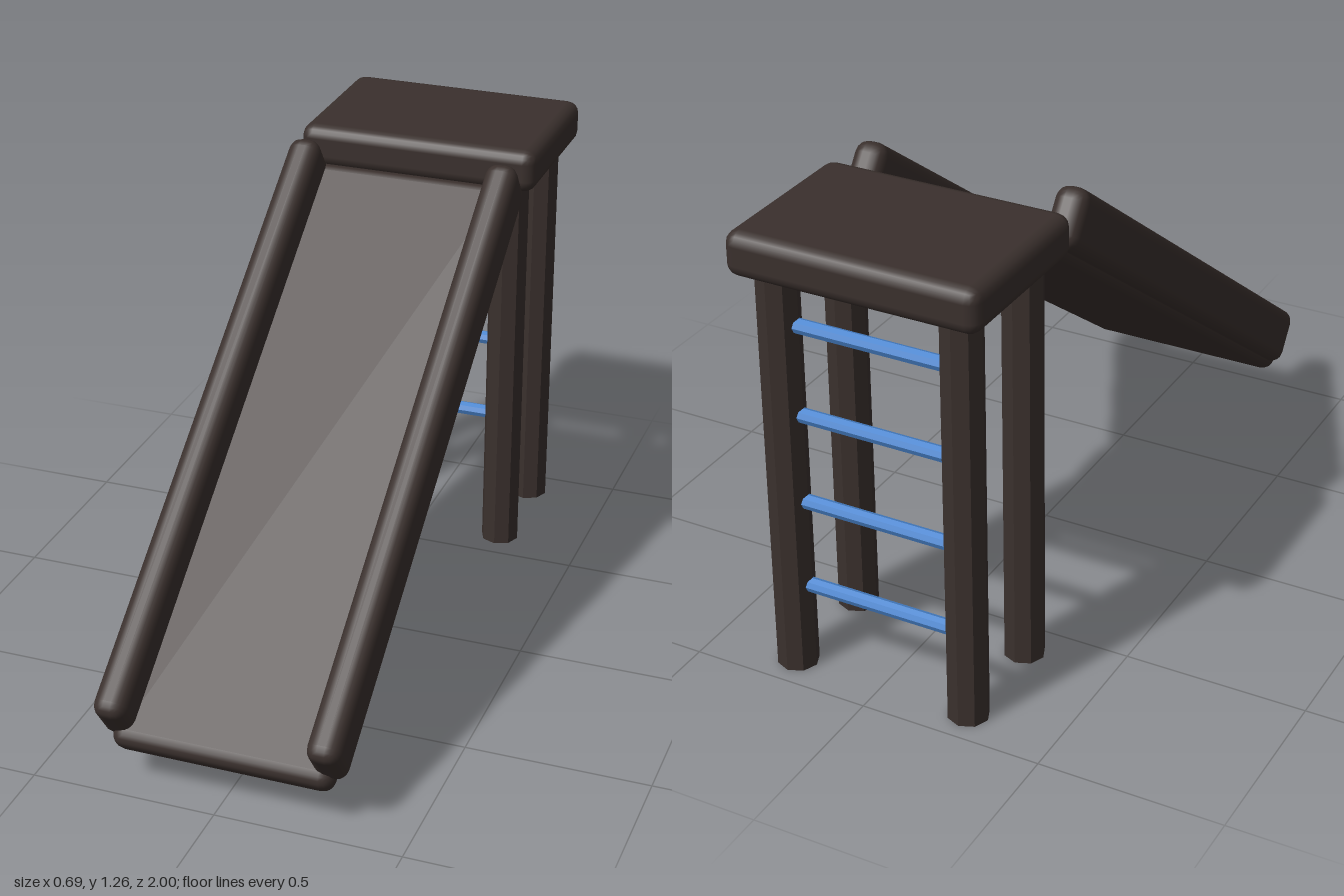
import * as THREE from 'three';
import { RoundedBoxGeometry } from 'three/addons/geometries/RoundedBoxGeometry.js';

export function createModel() {
  const model = new THREE.Group();
  model.name = 'playgroundSlide';
  const brown = new THREE.MeshStandardMaterial({ color: 0x3a302d });
  const brownFaceted = new THREE.MeshStandardMaterial({ color: 0x3a302d, flatShading: true });
  const blue = new THREE.MeshStandardMaterial({ color: 0x4a86d0, flatShading: true });

  function add(parent, name, geometry, material, x, y, z) {
    const mesh = new THREE.Mesh(geometry, material);
    mesh.name = name;
    mesh.position.set(x, y, z);
    parent.add(mesh);
    return mesh;
  }

  // Platform with softened edges
  add(model, 'platform', new RoundedBoxGeometry(0.69, 0.12, 0.485, 2, 0.035), brown, 0, 1.2, -0.757);

  // Four eight-sided legs
  const legX = 0.253, backZ = -0.905;
  const legGeometry = new THREE.CylinderGeometry(0.055, 0.055, 1.17, 8);
  for (const [end, z] of [['front', -0.605], ['back', backZ]]) {
    for (const [side, s] of [['Left', 1], ['Right', -1]]) {
      add(model, `${end}${side}Leg`, legGeometry, brownFaceted, s * legX, 0.585, z);
    }
  }

  // Ladder rungs between the back legs
  const rungGeometry = new THREE.CylinderGeometry(0.02, 0.02, 2 * legX, 8);
  for (let i = 1; i <= 4; i++) {
    add(model, `rung${i}`, rungGeometry, blue, 0, i * 0.25, backZ).rotation.z = Math.PI / 2;
  }

  // Sloping chute: bed and two side rails, tilted together
  const chute = new THREE.Group();
  chute.name = 'chute';
  chute.rotation.x = THREE.MathUtils.degToRad(35.8);
  model.add(chute);
  add(chute, 'bed', new RoundedBoxGeometry(0.6, 0.08, 1.785, 2, 0.035), brown, 0, 0.65, -0.183);
  const railGeometry = new RoundedBoxGeometry(0.09, 0.16, 1.76, 2, 0.035);
  add(chute, 'leftRail', railGeometry, brown, 0.286, 0.715, -0.2);
  add(chute, 'rightRail', railGeometry, brown, -0.286, 0.715, -0.2);

  return model;
}
